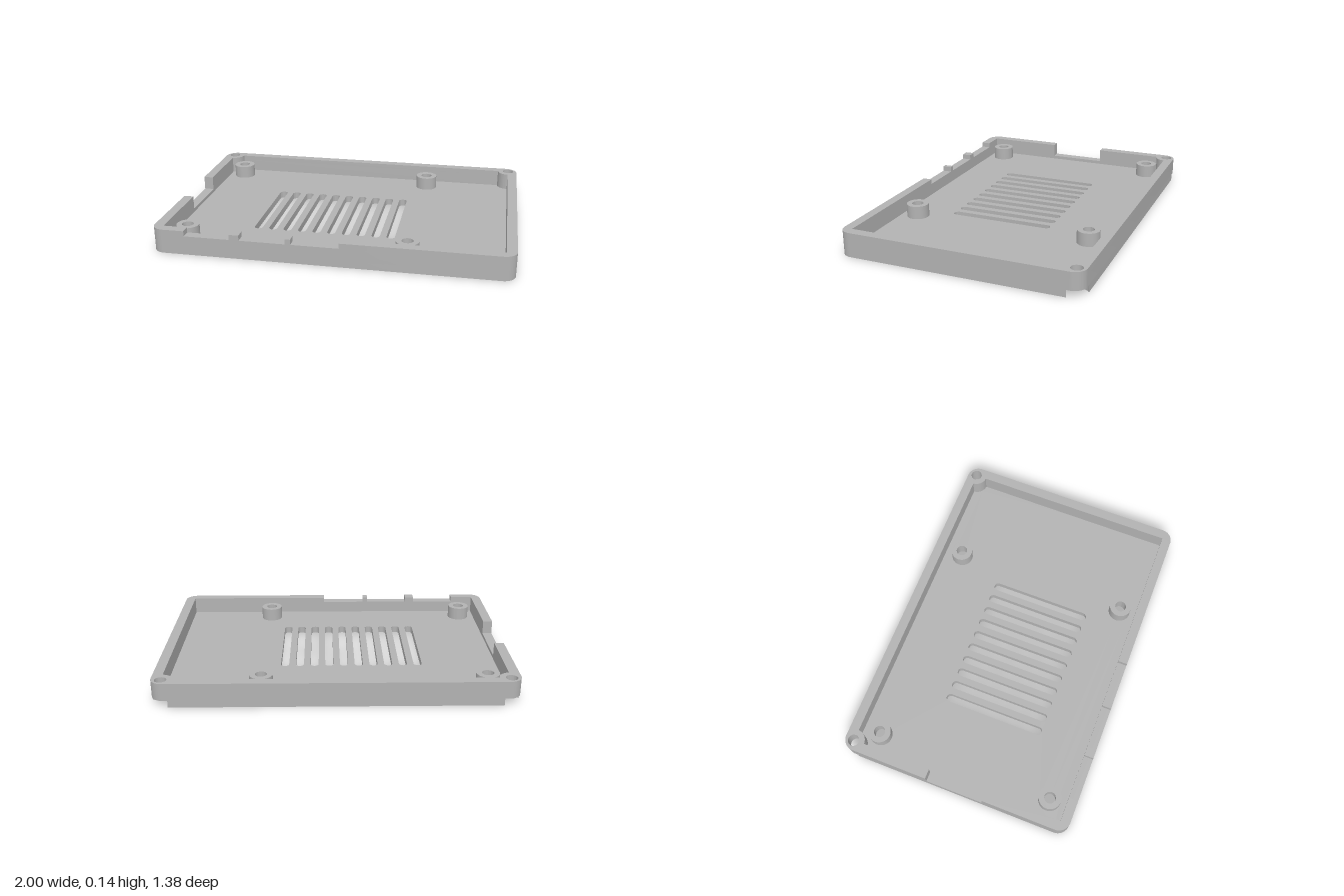
import * as THREE from 'three';
import { toCreasedNormals } from 'three/addons/utils/BufferGeometryUtils.js';

const PI = Math.PI;
const FLOOR = 0.04, SILL = 0.06, PORT = 0.11, TOP = 0.14;
const W = 1, D = 0.69, R = 0.07;            // outer half sizes and corner radius
const IX = 0.943, IZ = 0.635;               // inner half sizes
const BX = 0.945, BZ = 0.638, BR = 0.065;   // rear screw bosses
const HOLE = 0.033;

// Plan shapes are drawn with x across and y towards the back
const circle = (x, y, r) => new THREE.Path().absarc(x, y, r, 0, PI * 2, false);

function slot(x, y0, y1, r) {
  const p = new THREE.Path();
  p.moveTo(x + r, y0 + r);
  p.lineTo(x + r, y1 - r);
  p.absarc(x, y1 - r, r, 0, PI, false);
  p.lineTo(x - r, y0 + r);
  p.absarc(x, y0 + r, r, PI, PI * 2, false);
  return p;
}

// Floor outline, with the rear corners bitten away by the screw recesses
function floorShape() {
  const s = new THREE.Shape();
  const dy = Math.sqrt(BR ** 2 - (W - BX) ** 2);
  const dx = Math.sqrt(BR ** 2 - (D - BZ) ** 2);
  const side = Math.atan2(dy, W - BX), rear = Math.atan2(D - BZ, dx);
  s.moveTo(-W, -D + R);
  s.lineTo(-W, BZ - dy);
  s.absarc(-BX, BZ, BR, side - PI, rear, false);
  s.lineTo(BX - dx, D);
  s.absarc(BX, BZ, BR, PI - rear, PI * 2 - side, false);
  s.lineTo(W, -D + R);
  s.absarc(W - R, -D + R, R, 0, -PI / 2, true);
  s.lineTo(-W + R, -D);
  s.absarc(-W + R, -D + R, R, -PI / 2, -PI, true);
  return s;
}

// Front right corner: outer edge, then back along the inside
function cornerEnd(s) {
  s.lineTo(-W + R, -D);
  s.absarc(-W + R, -D + R, R, -PI / 2, -PI, true);
  s.lineTo(-W, -0.18);
  s.lineTo(-IX, -0.18);
  s.lineTo(-IX, -IZ);
}

// Wall from the side opening around the back to the front
function wallShape(wholeFront) {
  const s = new THREE.Shape();
  s.moveTo(-W, 0.165);
  s.lineTo(-W, D - R);
  s.absarc(-W + R, D - R, R, PI, PI / 2, true);
  s.lineTo(W - R, D);
  s.absarc(W - R, D - R, R, PI / 2, 0, true);
  s.lineTo(W, -D + R);
  s.absarc(W - R, -D + R, R, 0, -PI / 2, true);
  if (wholeFront) cornerEnd(s);
  else {
    s.lineTo(0.065, -D);
    s.lineTo(0.065, -IZ);
  }
  s.lineTo(IX, -IZ);
  s.lineTo(IX, BZ - BR);
  s.absarc(BX, BZ, BR, -PI / 2, -PI, true);
  s.lineTo(BX - BR, IZ);
  s.lineTo(-BX + BR, IZ);
  s.absarc(-BX, BZ, BR, 0, -PI / 2, true);
  s.lineTo(-IX, BZ - BR);
  s.lineTo(-IX, 0.165);
  s.holes.push(circle(-BX, BZ, HOLE), circle(BX, BZ, HOLE));
  return s;
}

export function createModel() {
  const group = new THREE.Group();
  group.name = 'enclosureBase';
  const grey = new THREE.MeshStandardMaterial({ color: 0xb2b2b2 });
  grey.name = 'grey plastic';

  const add = (name, geometry) => {
    const mesh = new THREE.Mesh(geometry, grey);
    mesh.name = name;
    group.add(mesh);
    return mesh;
  };
  // Raise a plan shape from y0 to y1
  const raise = (name, shape, y0, y1) => {
    const g = new THREE.ExtrudeGeometry(shape, { depth: y1 - y0, bevelEnabled: false, curveSegments: 20 });
    g.rotateX(-PI / 2);
    g.translate(0, y0, 0);
    return add(name, toCreasedNormals(g, 0.6));
  };
  const box = (name, x0, x1, y0, y1, z0, z1) =>
    add(name, new THREE.BoxGeometry(x1 - x0, y1 - y0, z1 - z0))
      .position.set((x0 + x1) / 2, (y0 + y1) / 2, (z0 + z1) / 2);

  // Floor with vent slots and screw recesses
  const standoffs = [];
  for (const x of [-0.84, 0.415]) for (const y of [0.525, -0.535]) standoffs.push([x, y]);
  const floor = floorShape();
  for (let i = 0; i < 10; i++) floor.holes.push(slot(-0.485 + i * 0.0868, -0.355, 0.255, 0.024));
  for (const [x, y] of standoffs) floor.holes.push(circle(x, y, 0.06));
  raise('floor', floor, 0, FLOOR);

  // Walls, stepped down for the ports
  raise('lowerWall', wallShape(true), FLOOR, PORT);
  raise('upperWall', wallShape(false), PORT, TOP);
  const corner = new THREE.Shape();
  corner.moveTo(-0.805, -D);
  cornerEnd(corner);
  corner.lineTo(-0.805, -IZ);
  raise('upperCornerWall', corner, PORT, TOP);
  box('sideSill', -W, -IX, FLOOR, SILL, -0.165, 0.18);
  box('portDivider', -0.545, -0.49, PORT, TOP, IZ, D);
  box('portDivider', -0.23, -0.2, PORT, TOP, IZ, D);

  // Board standoffs
  for (const [x, y] of standoffs) {
    const s = new THREE.Shape();
    s.absarc(x, y, 0.065, 0, PI * 2, false);
    s.holes.push(circle(x, y, HOLE));
    raise('standoff', s, FLOOR, 0.117);
  }
  return group;
}
